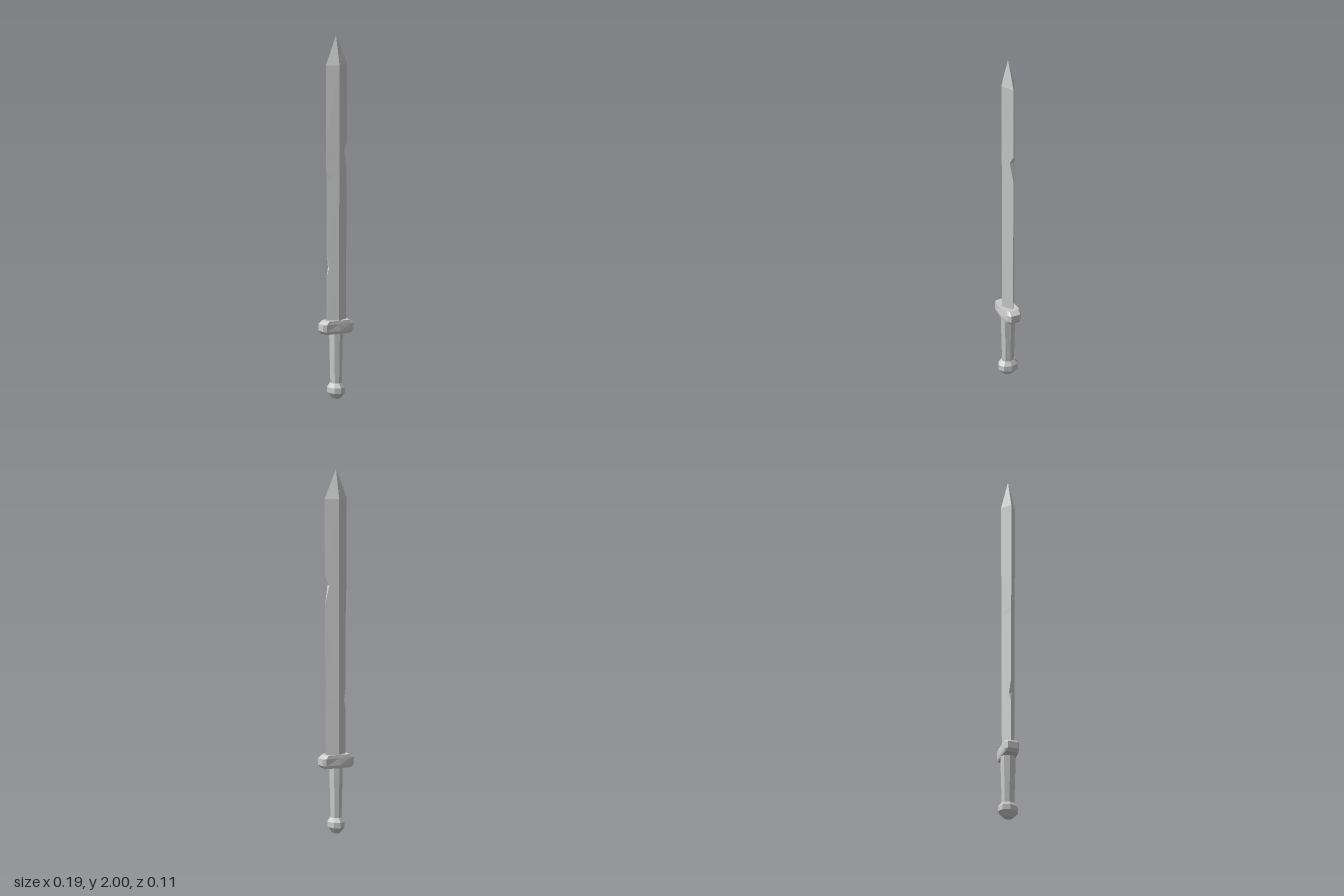
import * as THREE from 'three';

const material = new THREE.MeshStandardMaterial({ color: 0xcccccc, flatShading: true });

// Skins closed rings of [x, y, z], listed bottom to top, and caps both ends.
function loft(name, rings) {
  const pos = [];
  const v = (p) => new THREE.Vector3(...p);
  const tri = (a, b, c) => {
    const area = v(b).sub(v(a)).cross(v(c).sub(v(a))).length();
    if (area > 1e-8) pos.push(...a, ...b, ...c);
  };
  const n = rings[0].length;
  for (let r = 0; r < rings.length - 1; r++) {
    for (let i = 0; i < n; i++) {
      const j = (i + 1) % n;
      const [a, b, c, d] = [rings[r][i], rings[r][j], rings[r + 1][j], rings[r + 1][i]];
      tri(a, b, c);
      tri(a, c, d);
    }
  }
  const low = rings[0];
  const high = rings[rings.length - 1];
  for (let i = 1; i < n - 1; i++) {
    tri(low[0], low[i + 1], low[i]);
    tri(high[0], high[i], high[i + 1]);
  }
  const geometry = new THREE.BufferGeometry();
  geometry.setAttribute('position', new THREE.Float32BufferAttribute(pos, 3));
  geometry.computeVertexNormals();
  const mesh = new THREE.Mesh(geometry, material);
  mesh.name = name;
  return mesh;
}

// Eight-sided turned part, narrower in x than in z.
function turned(name, profile, xScale) {
  const points = profile.map(([r, y]) => new THREE.Vector2(r, y));
  const geometry = new THREE.LatheGeometry(points, 8);
  geometry.scale(xScale, 1, 1);
  const mesh = new THREE.Mesh(geometry, material);
  mesh.name = name;
  return mesh;
}

// Diamond section whose sharp edges are cut flat where a nick bites in.
function bladeRing([y, left, right, depth, leftNick = 0, rightNick = 0]) {
  const xl = -left + leftNick;
  const xr = right - rightNick;
  const zl = (depth * leftNick) / left;
  const zr = (depth * rightNick) / right;
  return [[0, y, depth], [xr, y, zr], [xr, y, -zr], [0, y, -depth], [xl, y, -zl], [xl, y, zl]];
}

// Guard plan: chamfered ends with a slight swell in the middle.
function guardRing([y, end, corner, zEnd, zCorner, zMid]) {
  const front = [[0, y, zMid], [corner, y, zCorner], [end, y, zEnd]];
  const back = front.map(([x, h, z]) => [-x, h, -z]);
  const mirror = ([x, h, z]) => [x, h, -z];
  return [
    ...front, mirror(front[2]), mirror(front[1]),
    ...back, mirror(back[2]), mirror(back[1]),
  ];
}

export function createModel() {
  const sword = new THREE.Group();
  sword.name = 'sword';

  // y, left half-width, right half-width, half-depth, left nick, right nick
  sword.add(loft('blade', [
    [0.40, 0.058, 0.061, 0.035],
    [0.67, 0.058, 0.062, 0.036],
    [0.725, 0.058, 0.063, 0.036, 0.013, 0],
    [0.80, 0.058, 0.063, 0.036],
    [1.20, 0.058, 0.066, 0.037],
    [1.25, 0.060, 0.066, 0.037],
    [1.365, 0.062, 0.067, 0.038, 0, 0.022],
    [1.41, 0.062, 0.067, 0.038],
    [1.84, 0.062, 0.068, 0.040],
    [2.0, 0.0001, 0.0001, 0.0001],
  ].map(bladeRing)));

  // y, end x, corner x, end z, corner z, middle z
  sword.add(loft('guard', [
    [0.36, 0.080, 0.068, 0.024, 0.036, 0.043],
    [0.376, 0.094, 0.076, 0.027, 0.040, 0.046],
    [0.414, 0.094, 0.076, 0.027, 0.040, 0.040],
    [0.432, 0.070, 0.060, 0.024, 0.036, 0.035],
  ].map(guardRing)));

  sword.add(turned('grip', [[0.033, 0.06], [0.036, 0.10], [0.042, 0.30], [0.043, 0.37]], 0.84));

  sword.add(turned('pommel', [
    [0, 0], [0.027, 0], [0.057, 0.032], [0.057, 0.062], [0.038, 0.085], [0, 0.085],
  ], 0.8));

  return sword;
}
